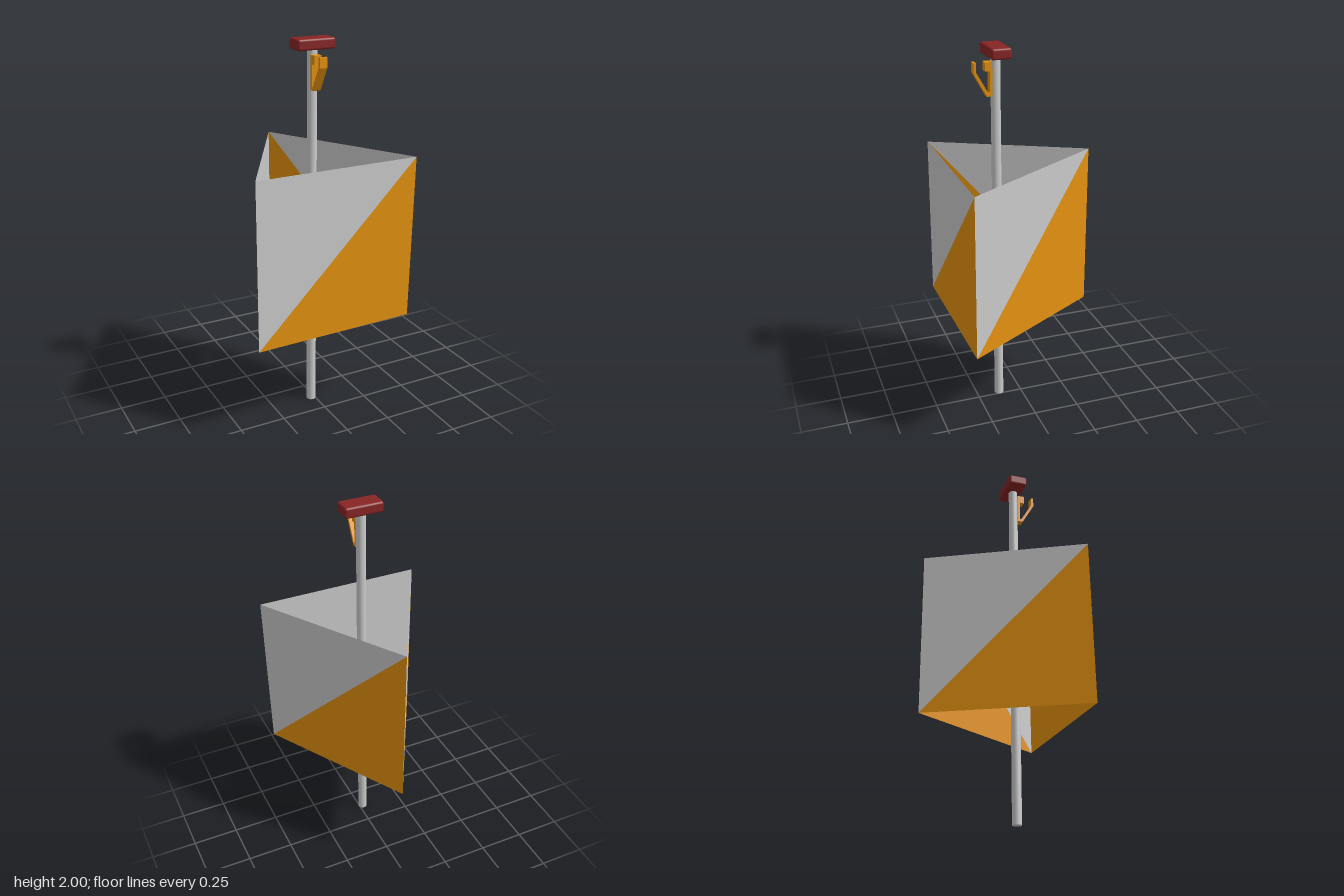
import * as THREE from 'three';
import { RoundedBoxGeometry } from 'three/addons/geometries/RoundedBoxGeometry.js';

const POLE_X = -0.02, POLE_Z = 0.125;

const material = (color, extra = {}) => new THREE.MeshStandardMaterial({ color, ...extra });

function addPart(parent, name, geometry, mat) {
  const mesh = new THREE.Mesh(geometry, mat);
  mesh.name = name;
  parent.add(mesh);
  return mesh;
}

// One flat triangle of fabric, corners counter-clockwise from outside
function triangle(a, b, c) {
  const geometry = new THREE.BufferGeometry();
  geometry.setAttribute('position', new THREE.Float32BufferAttribute([...a, ...b, ...c], 3));
  geometry.computeVertexNormals();
  return geometry;
}

export function createModel() {
  const model = new THREE.Group();
  model.name = 'controlMarker';
  const grey = material(0xcccccc);
  const orange = material(0xe4910f);
  const red = material(0x882424);
  const greyCloth = material(0xcccccc, { side: THREE.DoubleSide });
  const orangeCloth = material(0xe4910f, { side: THREE.DoubleSide });

  // Pole
  const pole = addPart(model, 'pole', new THREE.CylinderGeometry(0.025, 0.025, 1.95, 24), grey);
  pole.position.set(POLE_X, 0.975, POLE_Z);

  // Rounded block on top of the pole
  const cap = addPart(model, 'topBlock', new RoundedBoxGeometry(0.206, 0.056, 0.104, 3, 0.012), red);
  cap.position.set(-0.018, 1.972, 0.123);

  // Hook: side profile (z, y) pulled across x
  const profile = [
    [0.147, 1.92], [0.185, 1.92], [0.185, 1.875], [0.16, 1.875], [0.16, 1.765], [0.168, 1.765],
    [0.229, 1.872], [0.229, 1.92], [0.243, 1.92], [0.243, 1.868], [0.176, 1.748], [0.147, 1.748],
  ].map(([z, y]) => new THREE.Vector2(-z, y));
  const hookGeometry = new THREE.ExtrudeGeometry(new THREE.Shape(profile), {
    depth: 0.04, bevelEnabled: false,
  });
  hookGeometry.rotateY(Math.PI / 2).translate(POLE_X - 0.02, 0, 0);
  addPart(model, 'hook', hookGeometry, orange);

  // Three-sided cloth flag, each side split along its diagonal
  const corners = [
    { top: [-0.45, 1.405, 0.383], bottom: [-0.45, 0.517, 0.388] },
    { top: [0.444, 1.405, 0.38], bottom: [0.428, 0.528, 0.38] },
    { top: [-0.02, 1.414, -0.39], bottom: [-0.02, 0.526, -0.39] },
  ];
  const flag = new THREE.Group();
  flag.name = 'flag';
  model.add(flag);
  corners.forEach((a, i) => {
    const b = corners[(i + 1) % 3];
    addPart(flag, 'upperPanel' + (i + 1), triangle(a.bottom, b.top, a.top), greyCloth);
    addPart(flag, 'lowerPanel' + (i + 1), triangle(a.bottom, b.bottom, b.top), orangeCloth);
  });

  return model;
}
